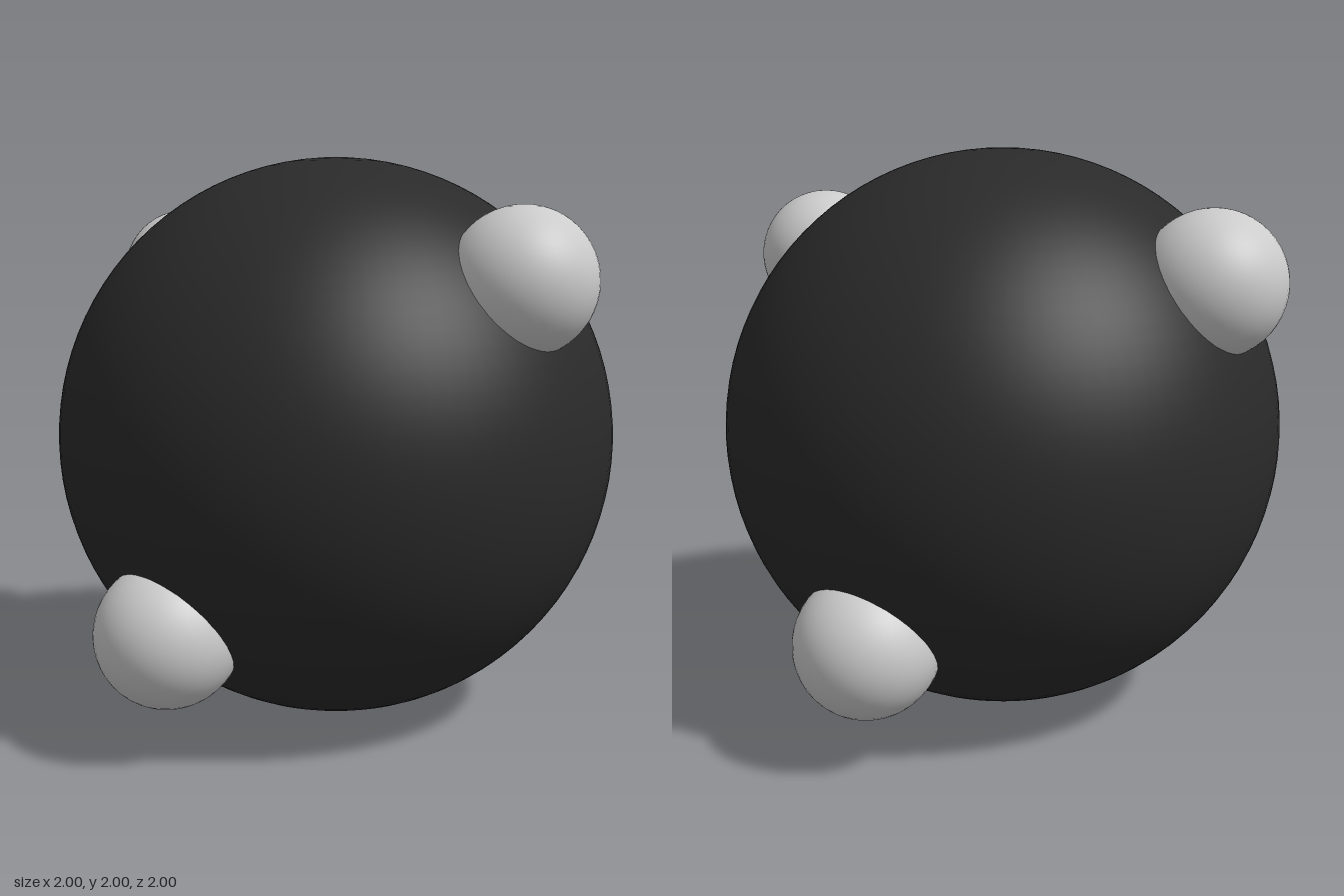
import * as THREE from 'three';

export function createModel() {
  const model = new THREE.Group();
  model.name = 'molecule';

  const ball = (name, radius, color, segments) => {
    const mesh = new THREE.Mesh(
      new THREE.SphereGeometry(radius, segments, segments / 2),
      new THREE.MeshStandardMaterial({ color })
    );
    mesh.name = name;
    model.add(mesh);
    return mesh;
  };

  // Large central atom
  ball('centralAtom', 1, 0x2a2a2a, 96).position.y = 1;

  // Four small atoms at tetrahedron corners, centred on the large atom's surface
  const corners = {
    frontLeftUpperAtom: [1, 1, 1],
    frontRightLowerAtom: [-1, -1, 1],
    backRightUpperAtom: [-1, 1, -1],
    backLeftLowerAtom: [1, -1, -1],
  };
  for (const [name, direction] of Object.entries(corners)) {
    const atom = ball(name, 0.247, 0xcccccc, 48);
    atom.position.fromArray(direction).normalize();
    atom.position.y += 1;
  }

  return model;
}
